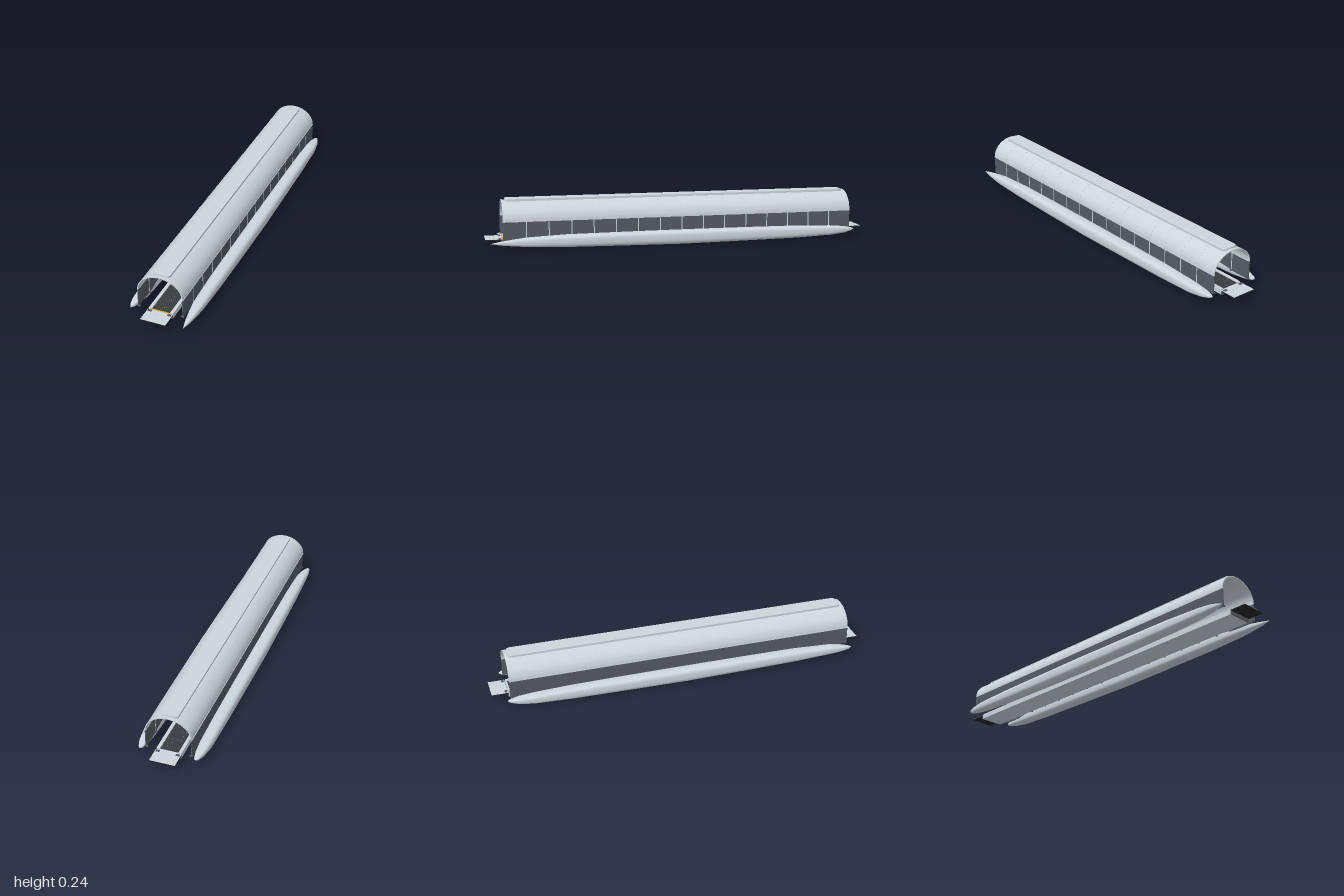
import * as THREE from 'three';
import { toCreasedNormals } from 'three/addons/utils/BufferGeometryUtils.js';

const mat = (name, color) => {
  const m = new THREE.MeshStandardMaterial({ color });
  m.name = name;
  return m;
};

export function createModel() {
  const group = new THREE.Group();
  const M = {
    shell: mat('pale grey shell', 0xccd5dd),
    wall: mat('dark wall panel', 0x545b63),
    planks: mat('dark planks', 0x3a3e41),
    black: mat('black underside', 0x242628),
    yellow: mat('yellow edge', 0xd9a530),
  };
  const add = (name, geo, m, x = 0, y = 0, z = 0) => {
    const mesh = new THREE.Mesh(geo, m);
    mesh.name = name;
    mesh.position.set(x, y, z);
    group.add(mesh);
    return mesh;
  };
  const box = (name, m, w, h, d, x, y, z) => add(name, new THREE.BoxGeometry(w, h, d), m, x, y, z);

  const END = 0.915, SPRING = 0.139, BAYS = 16;

  // Elliptical arch band extruded along z
  const arch = (rx, ry, t, depth) => {
    const s = new THREE.Shape();
    s.absellipse(0, SPRING, rx, ry, 0, Math.PI, false, 0);
    s.lineTo(-rx + t, SPRING);
    s.absellipse(0, SPRING, rx - t, ry - t, Math.PI, 0, true, 0);
    s.closePath();
    const g = new THREE.ExtrudeGeometry(s, { depth, bevelEnabled: false, curveSegments: 20 });
    g.translate(0, 0, -depth / 2);
    return toCreasedNormals(g, 0.6);
  };
  add('canopy', arch(0.116, 0.097, 0.003, END * 2), M.shell);
  const ribGeo = arch(0.1168, 0.0978, 0.0045, 0.005);

  // Ribs, wall posts and brackets at every bay; right posts sit inside the wall
  for (let i = 0; i <= BAYS; i++) {
    const z = -END + 0.0025 + (i / BAYS) * (END * 2 - 0.005);
    const postMat = i % BAYS === 0 ? M.wall : M.shell;
    add('rib', ribGeo, M.shell, 0, 0, z);
    box('leftPost', postMat, 0.0045, 0.095, 0.005, 0.1145, 0.092, z);
    box('rightPost', postMat, 0.003, 0.095, 0.005, -0.1135, 0.092, z);
    for (const s of [-1, 1]) box('postBracket', M.wall, 0.016, 0.005, 0.008, s * 0.112, 0.046, z);
  }

  // Side walls with rails along their top edge
  for (const s of [-1, 1]) {
    box('wall', M.wall, 0.003, 0.097, END * 2, s * 0.1145, 0.0905, 0);
    box('eaveRail', M.shell, 0.006, 0.005, END * 2, s * 0.115, SPRING, 0);
  }

  // Long rounded strip on the roof ridge
  const r = 0.018, w = 0.043, l = 0.897;
  const strip = new THREE.Shape();
  strip.absarc(w - r, l - r, r, 0, Math.PI / 2);
  strip.absarc(-w + r, l - r, r, Math.PI / 2, Math.PI);
  strip.absarc(-w + r, -l + r, r, Math.PI, Math.PI * 1.5);
  strip.absarc(w - r, -l + r, r, Math.PI * 1.5, Math.PI * 2);
  const stripGeo = new THREE.ExtrudeGeometry(strip, { depth: 0.011, bevelEnabled: false, curveSegments: 6 });
  stripGeo.rotateX(-Math.PI / 2);
  add('roofStrip', toCreasedNormals(stripGeo, 0.6), M.shell, 0, 0.231, 0);

  // Walkway: frame, planks, kerbs and dark end faces
  box('deckFrame', M.shell, 0.126, 0.02, 1.83, 0, 0.03, 0);
  for (const s of [-1, 1]) {
    box('deckKerb', M.shell, 0.016, 0.007, 1.82, s * 0.055, 0.0435, 0);
    box('deckEnd', M.wall, 0.127, 0.02, 0.005, 0, 0.03, s * 0.916);
  }
  const PLANKS = 60, STEP = 1.81 / PLANKS;
  for (let i = 0; i < PLANKS; i++) {
    box('plank', M.planks, 0.092, 0.003, STEP * 0.88, 0, 0.0415, (i + 0.5 - PLANKS / 2) * STEP);
  }
  box('yellowEdge', M.yellow, 0.11, 0.003, 0.008, 0, 0.0425, 0.912);

  // Boarding plates at both ends, studded on top
  const stud = new THREE.CylinderGeometry(0.002, 0.002, 0.001, 6);
  for (const s of [-1, 1]) {
    box('plateTop', M.shell, 0.128, 0.001, 0.084, 0, 0.043, s * 0.958);
    box('plateBody', M.black, 0.128, 0.0055, 0.084, 0, 0.03975, s * 0.958);
    for (const h of [-1, 1]) box('plateHinge', M.wall, 0.018, 0.004, 0.012, h * 0.05, 0.0445, s * 0.926);
    for (let a = 0; a < 8; a++) {
      for (let b = 0; b < 4; b++) {
        add('plateStud', stud, M.shell, (a - 3.5) * 0.015, 0.0437, s * (0.942 + b * 0.015));
      }
    }
  }

  // Floats lofted from rounded-square sections [z, centre x, centre y, half width, half height]
  const loft = (sections) => {
    const N = 28, pos = [], idx = [];
    const round = (v) => Math.sign(v) * Math.pow(Math.abs(v), 0.68);
    for (const [z, cx, cy, rx, ry] of sections) {
      for (let j = 0; j < N; j++) {
        const t = (j / N) * Math.PI * 2;
        pos.push(cx + rx * round(Math.cos(t)), cy + ry * round(Math.sin(t)), z);
      }
    }
    for (let i = 0; i < sections.length - 1; i++) {
      for (let j = 0; j < N; j++) {
        const a = i * N + j, b = i * N + (j + 1) % N;
        idx.push(a, b, a + N, b, b + N, a + N);
      }
    }
    const g = new THREE.BufferGeometry();
    g.setAttribute('position', new THREE.Float32BufferAttribute(pos, 3));
    g.setIndex(idx);
    g.computeVertexNormals();
    return g;
  };
  const middle = (s) => [
    [-0.8, s * 0.143, 0.039, 0.030, 0.024],
    [-0.6, s * 0.142, 0.038, 0.034, 0.031],
    [-0.3, s * 0.142, 0.037, 0.036, 0.034],
    [0, s * 0.143, 0.036, 0.037, 0.036],
    [0.3, s * 0.142, 0.037, 0.036, 0.034],
    [0.6, s * 0.141, 0.038, 0.034, 0.031],
    [0.8, s * 0.142, 0.038, 0.028, 0.023],
  ];
  const tail = (s) => [
    [-0.932, s * 0.138, 0.042, 0.0005, 0.0005],
    [-0.92, s * 0.139, 0.041, 0.011, 0.007],
    [-0.88, s * 0.141, 0.040, 0.022, 0.016],
  ];
  // The left float has a long pointed nose, the right one a short nose
  add('leftFloat', loft([...tail(1), ...middle(1),
    [0.87, 0.143, 0.037, 0.021, 0.016],
    [0.93, 0.144, 0.036, 0.012, 0.009],
    [0.98, 0.145, 0.036, 0.0005, 0.0005]]), M.shell);
  add('rightFloat', loft([...tail(-1), ...middle(-1),
    [0.87, -0.146, 0.037, 0.021, 0.016],
    [0.91, -0.148, 0.036, 0.012, 0.009],
    [0.93, -0.149, 0.036, 0.0005, 0.0005]]), M.shell);

  return group;
}
